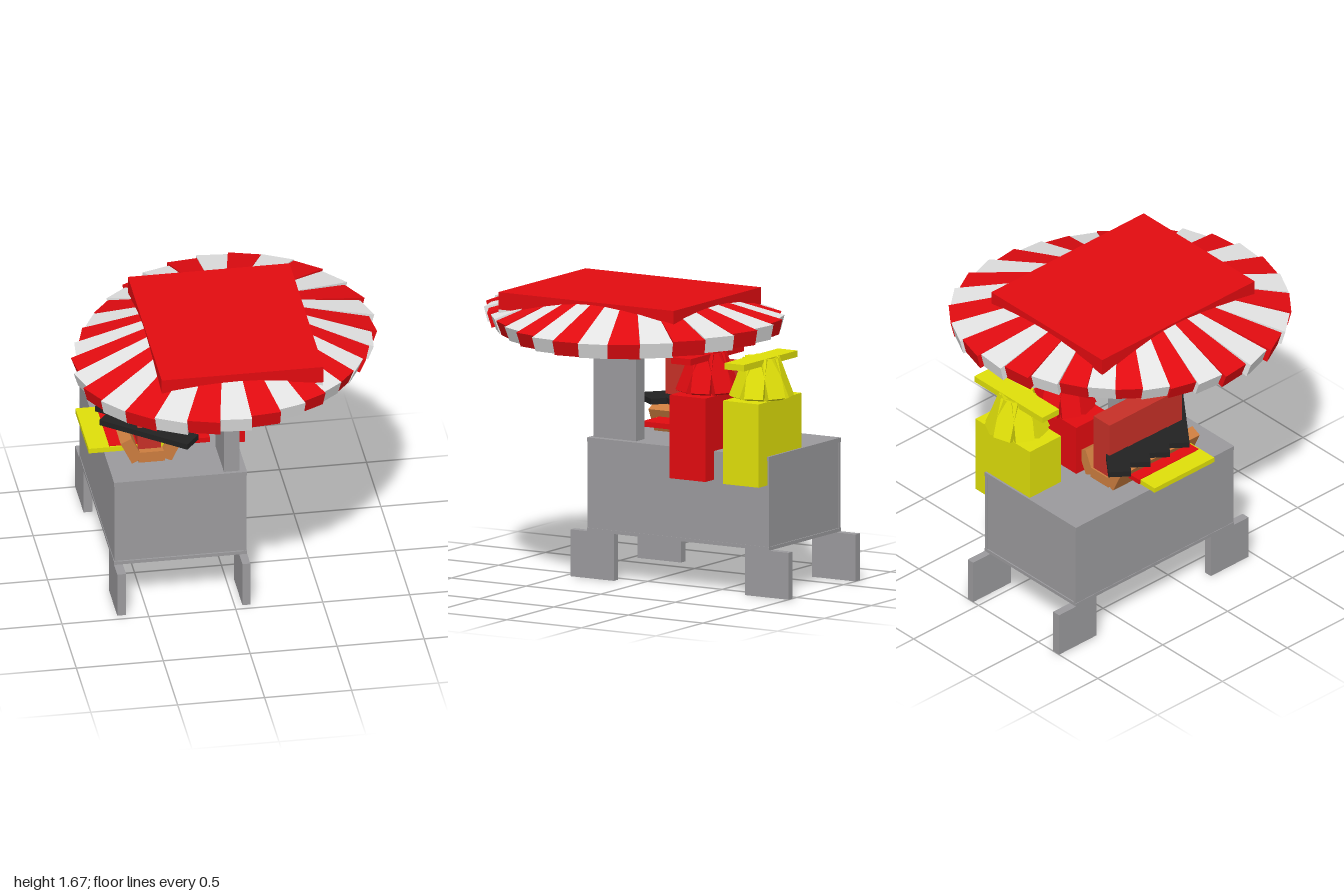
import * as THREE from 'three';

const mat = (name, color) => {
  const m = new THREE.MeshStandardMaterial({ color });
  m.name = name;
  return m;
};

export function createModel() {
  const red = mat('red', 0xe20b10), white = mat('white', 0xe4e4e4), grey = mat('grey', 0x9b9a9d);
  const yellow = mat('yellow', 0xdfdf09), bread = mat('bread', 0xcc7d3f);
  const meat = mat('meat', 0xc63027), black = mat('black', 0x222222);
  const root = new THREE.Group();
  root.name = 'foodCart';

  const add = (parent, name, geo, material) => {
    const m = new THREE.Mesh(geo, material);
    m.name = name;
    parent.add(m);
    return m;
  };
  // Box given by its limits on each axis
  const box = (name, material, [x0, x1], [y0, y1], [z0, z1], parent = root) => {
    const m = add(parent, name, new THREE.BoxGeometry(x1 - x0, y1 - y0, z1 - z0), material);
    m.position.set((x0 + x1) / 2, (y0 + y1) / 2, (z0 + z1) / 2);
    return m;
  };

  // Cart body: slabs, side walls and slightly inset end panels
  const bx = [-0.675, 0.09], bz = [-0.87, 0.35];
  box('cartBottom', grey, bx, [0.27, 0.29], bz);
  box('counterTop', grey, bx, [0.785, 0.81], bz);
  box('cartCore', grey, [-0.66, 0.075], [0.29, 0.785], [-0.863, 0.34]);
  box('rightWall', grey, [-0.672, -0.655], [0.29, 0.785], [-0.869, 0.348]);
  box('leftWall', grey, [0.07, 0.087], [0.29, 0.785], [-0.869, 0.348]);
  for (const x of [[-0.675, -0.625], [0.045, 0.09]])
    for (const z of [[0.17, 0.46], [-1, -0.71]]) box('leg', grey, x, [0, 0.27], z);
  box('canopyPole', grey, [-0.04, 0.05], [0.81, 1.5], [0.045, 0.33]);

  // Sauce bottles with a skirted cap and a flat nozzle
  const bottle = (name, material, z) => {
    const g = new THREE.Group();
    g.name = name;
    g.position.set(-0.04, 0, z);
    root.add(g);
    box('bottleBody', material, [-0.235, 0.22], [0.645, 1.125], [-0.12, 0.12], g);
    for (let i = 0; i < 8; i++) {
      const flap = new THREE.BoxGeometry(0.11, 0.235, 0.04);
      flap.rotateX(-0.38).translate(0, 1.24, 0.115).rotateY(0.3 + (i * Math.PI) / 4);
      add(g, 'capFlap', flap, material);
    }
    box('nozzle', material, [-0.28, 0.29], [1.32, 1.357], [-0.065, 0.065], g);
  };
  bottle('redBottle', red, -0.38);
  bottle('yellowBottle', yellow, -0.738);

  // Overlapping trays under the bun
  box('yellowTray', yellow, [-0.78, -0.2], [0.869, 0.899], [-0.36, 0.1]);
  box('redTray', red, [-0.66, -0.08], [0.872, 0.902], [-0.37, 0.09]);

  // Bun and sausage
  box('bunBase', bread, [-0.5, -0.35], [0.81, 0.875], [-0.46, 0.15]);
  for (const s of [-1, 1]) {
    const side = add(root, 'bunSide', new THREE.BoxGeometry(0.07, 0.15, 0.61), bread);
    side.position.set(-0.425 + s * 0.115, 0.89, -0.155);
    side.rotation.z = -s * 0.45;
  }
  box('sausage', meat, [-0.5, -0.365], [0.875, 1.23], [-0.45, 0.11]);

  // Slanted grill strips crossing the sausage
  for (let i = 0; i < 4; i++) {
    const strip = add(root, 'grillStrip', new THREE.BoxGeometry(0.57, 0.034, 0.13), black);
    strip.position.set(-0.435, 1.007 - i * 0.003, -0.34 + i * 0.15);
    strip.rotation.y = -0.67;
  }

  // Canopy plates
  box('canopyTop', red, [-0.46, 0.47], [1.57, 1.67], [-0.47, 0.705]);
  box('canopyLining', white, [-0.459, 0.469], [1.475, 1.57], [-0.469, 0.704]);

  // Ring of sloping tapered slats in alternating colours, wider on one diagonal
  const N = 32, thick = 0.09, inner = 0.45, yIn = 1.66;
  const ring = new THREE.Group();
  ring.name = 'canopyRing';
  ring.position.set(0, 0, 0.09);
  root.add(ring);
  for (let i = 0; i < N; i++) {
    const a = 0.09 + (i * 2 * Math.PI) / N;
    const outer = 0.885 - 0.08 * Math.sin(2 * a) - 0.025 * Math.cos(2 * a);
    const yOut = 1.505 + 0.05 * Math.sin(a) ** 2;
    const run = outer - inner, drop = yIn - yOut;
    const geo = new THREE.BoxGeometry(Math.hypot(run, drop), thick, 1);
    const p = geo.attributes.position;
    for (let k = 0; k < p.count; k++) {
      const r = p.getX(k) > 0 ? outer : inner;
      p.setZ(k, p.getZ(k) * 2.02 * r * Math.tan(Math.PI / N));
    }
    geo.translate(0, -thick / 2, 0).rotateZ(-Math.atan2(drop, run));
    geo.translate((inner + outer) / 2, (yIn + yOut) / 2, 0).rotateY(-a);
    geo.computeVertexNormals();
    add(ring, 'canopySlat', geo, i % 2 ? red : white);
  }
  return root;
}
